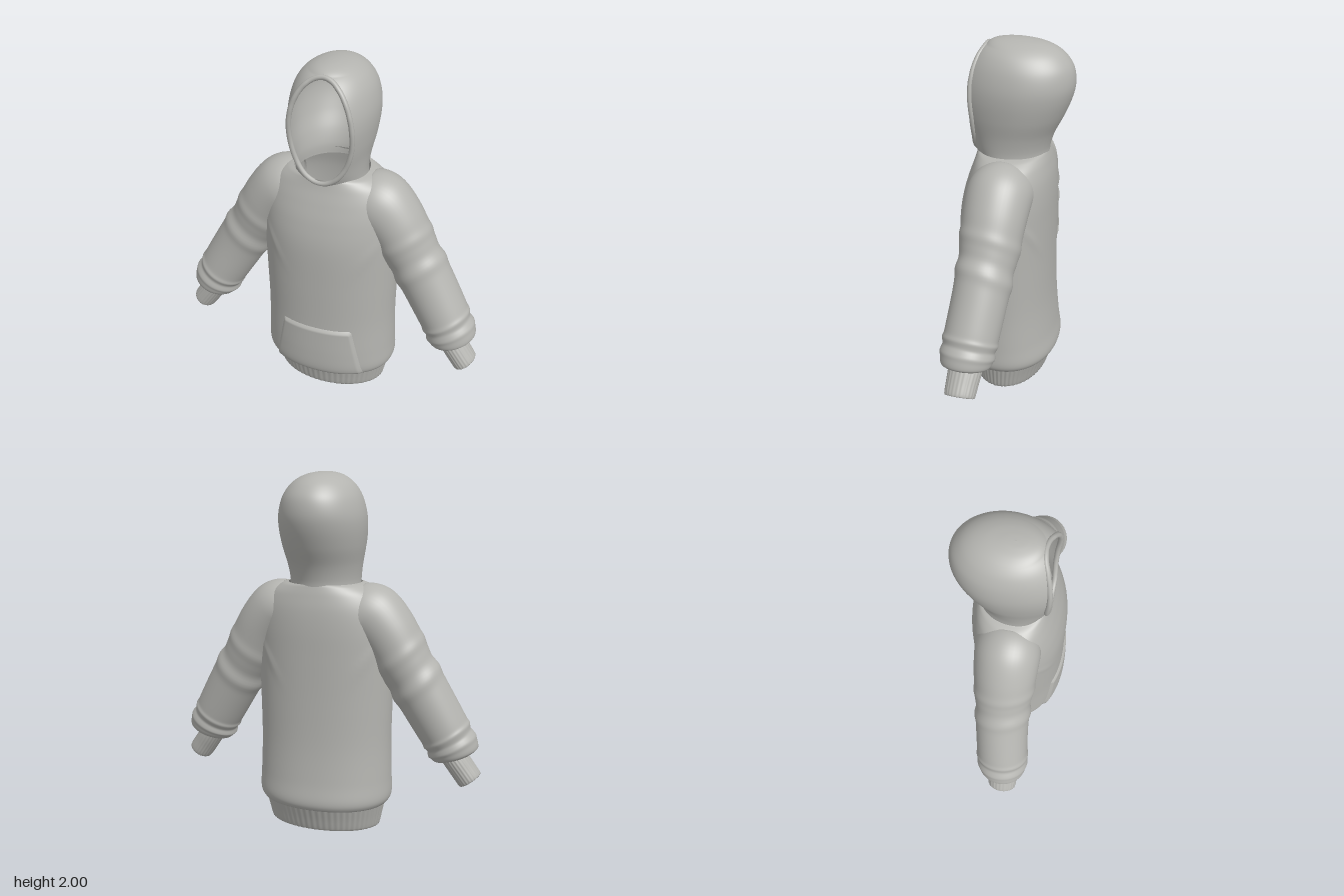
import * as THREE from 'three';

const fabric = new THREE.MeshStandardMaterial({ color: 0xb4b4b0, side: THREE.DoubleSide });
fabric.name = 'grey fabric';

// Smoothly interpolates a row of a key table, t in 0..1
function sample(keys, t) {
  const f = Math.min(Math.max(t, 0), 1) * (keys.length - 1);
  const i = Math.min(Math.floor(f), keys.length - 2), u = f - i;
  const k = (j) => keys[Math.min(Math.max(j, 0), keys.length - 1)];
  return keys[0].map((_, c) => {
    const [a, b, d, e] = [k(i - 1)[c], k(i)[c], k(i + 1)[c], k(i + 2)[c]];
    const m0 = (d - a) / 2, m1 = (e - b) / 2;
    return b + u * (m0 + u * (3 * (d - b) - 2 * m0 - m1 + u * (2 * (b - d) + m0 + m1)));
  });
}

// Skins a grid of points p(u, v); closed joins the u ends
function skin(name, nu, nv, p, { closed = true, flip = false } = {}) {
  const pos = [], idx = [], w = closed ? nu : nu + 1;
  for (let j = 0; j <= nv; j++)
    for (let i = 0; i < w; i++) pos.push(...p(i / nu, j / nv));
  for (let j = 0; j < nv; j++)
    for (let i = 0; i < nu; i++) {
      const a = j * w + i, b = j * w + (i + 1) % w, c = a + w, d = b + w;
      if (flip) idx.push(a, c, b, b, c, d);
      else idx.push(a, b, c, b, d, c);
    }
  const g = new THREE.BufferGeometry();
  g.setAttribute('position', new THREE.Float32BufferAttribute(pos, 3));
  g.setIndex(idx);
  g.computeVertexNormals();
  const mesh = new THREE.Mesh(g, fabric);
  mesh.name = name;
  return mesh;
}

const bump = (x, c, w) => Math.exp(-(((x - c) / w) ** 2));
const spow = (v, e) => Math.sign(v) * Math.abs(v) ** e;

// Torso: height, half width, front z, back z
const TORSO = [
  [0.13, 0.345, 0.25, -0.23], [0.145, 0.37, 0.285, -0.25], [0.19, 0.388, 0.305, -0.26],
  [0.3, 0.385, 0.308, -0.245], [0.5, 0.38, 0.302, -0.228], [0.75, 0.385, 0.3, -0.222],
  [1.0, 0.39, 0.295, -0.222], [1.15, 0.385, 0.272, -0.222], [1.26, 0.365, 0.24, -0.215],
  [1.34, 0.32, 0.212, -0.2], [1.385, 0.255, 0.2, -0.188], [1.4, 0.205, 0.2, -0.183],
];
const ROUND = 2.15;

function torsoPoint(u, v) {
  const [y, hw, zf, zb] = sample(TORSO, v);
  const a = u * Math.PI * 2, s = spow(Math.sin(a), 2 / ROUND), c = spow(Math.cos(a), 2 / ROUND);
  const zc = 0.025, x = hw * s;
  // Soft folds running down from the armholes
  const fold = 0.008 * bump(Math.abs(x) - 0.29 - (y - 1.0) * 0.65, 0, 0.022) * bump(y, 1.0, 0.1);
  return [x, y, zc + c * (c > 0 ? zf - zc + fold : zc - zb + fold)];
}

function torsoFront(x, y) {
  let lo = 0, hi = 1;
  for (let i = 0; i < 30; i++) {
    const m = (lo + hi) / 2;
    if (sample(TORSO, m)[0] < y) lo = m; else hi = m;
  }
  const [, hw, zf] = sample(TORSO, lo);
  return 0.025 + (zf - 0.025) * (1 - Math.min(1, Math.abs(x / hw)) ** ROUND) ** (1 / ROUND);
}

// Ribbed hem with a turned-in lower lip
const HEM = [[0.1, 0.315, 0.215, -0.18], [0, 0.308, 0.21, -0.172], [0, 0.322, 0.224, -0.186],
  [0.07, 0.338, 0.24, -0.21], [0.135, 0.352, 0.255, -0.234]];
function hemPoint(u, v) {
  const [y, hw, zf, zb] = sample(HEM, v);
  const a = u * Math.PI * 2, rib = 1 + 0.006 * Math.cos(a * 60);
  const zc = (zf + zb) / 2;
  return [hw * rib * Math.sin(a), Math.max(0, y), zc + (zf - zb) / 2 * rib * Math.cos(a)];
}

// Sleeve and cuff: centre x, y, z, radius in the arm plane, radius in z
const SLEEVE = [
  [0.23, 1.225, 0.01, 0.17, 0.175], [0.28, 1.215, 0.015, 0.178, 0.178], [0.36, 1.13, 0.018, 0.167, 0.172],
  [0.45, 0.98, 0.022, 0.157, 0.16], [0.56, 0.8, 0.032, 0.152, 0.15], [0.66, 0.63, 0.048, 0.146, 0.147],
  [0.705, 0.55, 0.057, 0.141, 0.146], [0.735, 0.49, 0.062, 0.142, 0.142],
  [0.749, 0.452, 0.065, 0.125, 0.128], [0.753, 0.44, 0.066, 0.07, 0.09],
];
const CUFF = [
  [0.728, 0.46, 0.066, 0.07, 0.092], [0.76, 0.414, 0.068, 0.07, 0.09], [0.795, 0.364, 0.072, 0.07, 0.086],
  [0.83, 0.315, 0.075, 0.069, 0.082], [0.83, 0.315, 0.075, 0.061, 0.074], [0.78, 0.386, 0.072, 0.061, 0.075],
];

function armPoint(keys, side, detail, axis) {
  return (u, v) => {
    const [x, y, z, rn, rz] = sample(keys, v);
    const p = sample(keys, v - 0.02), q = sample(keys, v + 0.02);
    const t = axis || new THREE.Vector2(q[0] - p[0], q[1] - p[1]).normalize();
    const a = u * Math.PI * 2, k = 1 + detail(a, v);
    const n = rn * k * Math.cos(a);
    return [side * (x - t.y * n), y + t.x * n, z + rz * k * Math.sin(a)];
  };
}
// Bunched cloth at the elbow and above the cuff
const creases = (a, v) => {
  const w = v + 0.018 * Math.sin(a + 0.6);
  return 0.045 * bump(w, 0.41, 0.018) - 0.035 * bump(w, 0.375, 0.02) + 0.04 * bump(w, 0.31, 0.02)
    + 0.035 * bump(w, 0.64, 0.02) - 0.03 * bump(w, 0.69, 0.02) + 0.03 * bump(w, 0.75, 0.025);
};
const ribs = (a) => 0.012 * Math.cos(a * 24);

// Hood: height, half width, z of the opening edge, back z
const HOOD = [
  [1.36, 0.198, 0.203, -0.186], [1.42, 0.197, 0.205, -0.19], [1.5, 0.206, 0.198, -0.215],
  [1.6, 0.225, 0.2, -0.265], [1.7, 0.236, 0.208, -0.305], [1.78, 0.233, 0.208, -0.32],
  [1.86, 0.213, 0.198, -0.308], [1.92, 0.18, 0.18, -0.268], [1.96, 0.138, 0.158, -0.215],
  [1.985, 0.09, 0.125, -0.145], [1.997, 0.04, 0.07, -0.06], [2.0, 0.001, 0.01, 0.005],
];
const FACE = { y: 1.67, w: 0.168, h: 0.295 };
function hoodPoint(u, v) {
  const [y, hw, zr, zb] = sample(HOOD, v);
  const gap = FACE.w * Math.sqrt(Math.max(0, 1 - ((y - FACE.y) / FACE.h) ** 2));
  const a0 = Math.asin(Math.min(0.95, gap / hw));
  const a = a0 + u * (Math.PI * 2 - 2 * a0), c = Math.cos(a);
  const zc = (zr + zb) / 2 + 0.02 * Math.min(1, hw / 0.2);
  const front = (zr - zc) / Math.cos(a0);
  return [hw * Math.sin(a), y, zc + c * (c > 0 ? front : zc - zb)];
}
function hoodEdge(y) {
  let i = 0;
  while (i < HOOD.length - 2 && HOOD[i + 1][0] < y) i++;
  const k = Math.min(1, Math.max(0, (y - HOOD[i][0]) / (HOOD[i + 1][0] - HOOD[i][0])));
  return HOOD[i][2] + k * (HOOD[i + 1][2] - HOOD[i][2]);
}

export function createModel() {
  const model = new THREE.Group();
  model.name = 'hoodedSweater';

  model.add(skin('torso', 96, 80, torsoPoint));
  model.add(skin('ribbedHem', 360, 16, hemPoint));

  // Front pocket following the belly, its rim dropping back to the cloth
  model.add(skin('frontPocket', 40, 24, (u, v) => {
    const y = 0.15 + 0.33 * v, half = 0.275 - 0.068 * v;
    const x = (u * 2 - 1) * half;
    const rim = u === 0 || u === 1 || v === 0 || v === 1;
    return [x, y, torsoFront(x, y) + (rim ? -0.004 : 0.014)];
  }, { closed: false }));

  // Sleeves and ribbed cuffs
  const cuffAxis = new THREE.Vector2(0.58, -0.82).normalize();
  for (const [side, label] of [[1, 'left'], [-1, 'right']]) {
    model.add(skin(label + 'Sleeve', 48, 110, armPoint(SLEEVE, side, creases), { flip: side < 0 }));
    model.add(skin(label + 'Cuff', 144, 20, armPoint(CUFF, side, ribs, cuffAxis), { flip: side < 0 }));
  }

  // Hood with a hemmed face opening
  model.add(skin('hood', 72, 90, hoodPoint, { closed: false }));
  const edge = [];
  for (let i = 0; i < 48; i++) {
    const a = i / 48 * Math.PI * 2, y = FACE.y + (FACE.h - 0.004) * Math.cos(a);
    edge.push(new THREE.Vector3((FACE.w + 0.006) * Math.sin(a), y, hoodEdge(y) - 0.006));
  }
  const rim = new THREE.Mesh(
    new THREE.TubeGeometry(new THREE.CatmullRomCurve3(edge, true), 120, 0.014, 10, true), fabric);
  rim.name = 'hoodRim';
  model.add(rim);

  return model;
}
